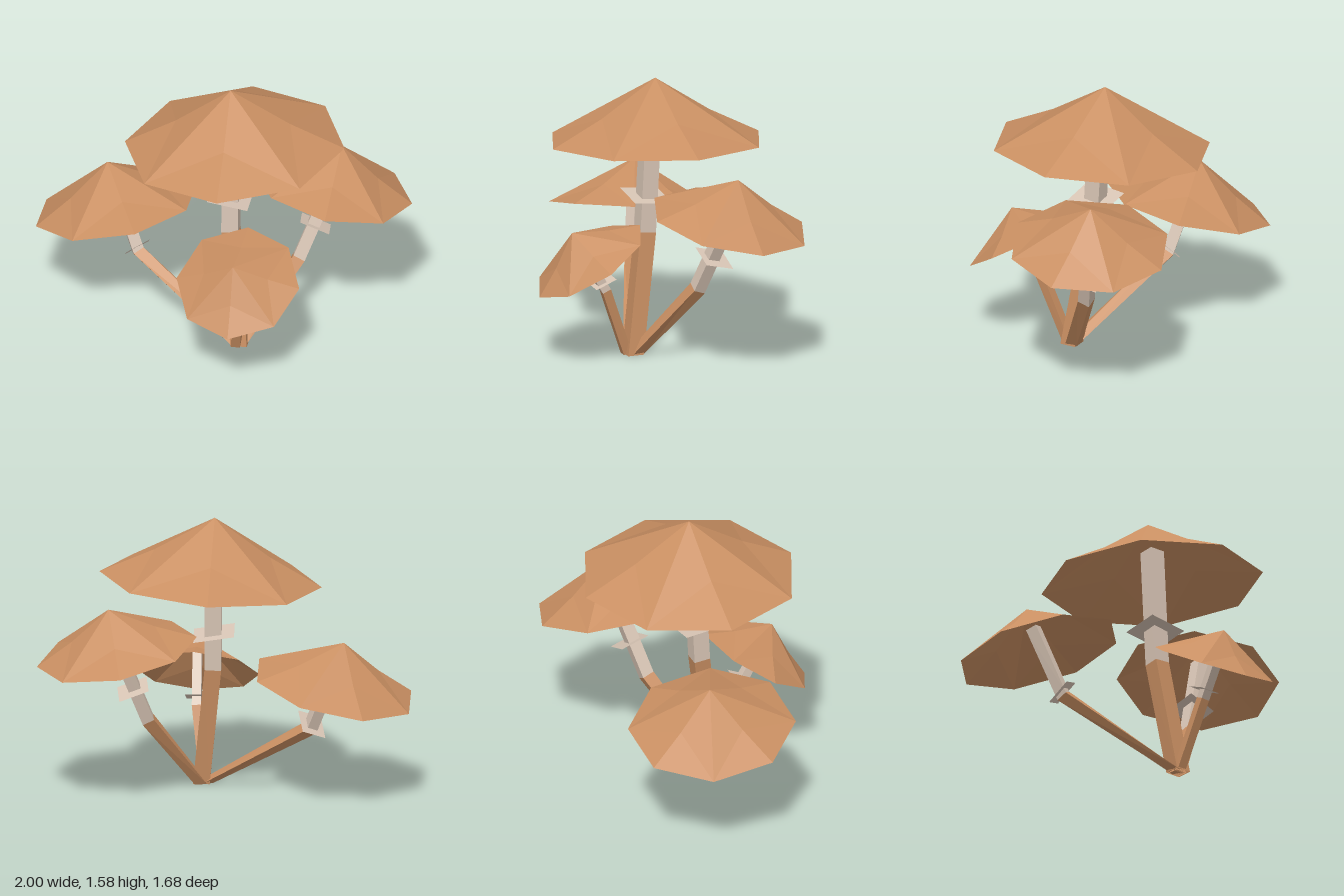
import * as THREE from 'three';

const V = (a) => new THREE.Vector3(...a);
const UP = new THREE.Vector3(0, 1, 0);

const makeMaterial = (name, color) => {
  const m = new THREE.MeshStandardMaterial({ color, flatShading: true, side: THREE.DoubleSide });
  m.name = name;
  return m;
};

// Flat-shaded mesh from a list of triangles (three points each)
function facetMesh(name, points, material) {
  const g = new THREE.BufferGeometry().setFromPoints(points);
  g.computeVertexNormals();
  const mesh = new THREE.Mesh(g, material);
  mesh.name = name;
  return mesh;
}

// Point at an angle, radius and height in the local frame of a centre and axis
function framePoint(center, axis, deg, r, h = 0) {
  const a = THREE.MathUtils.degToRad(deg);
  const q = new THREE.Quaternion().setFromUnitVectors(UP, axis.clone().normalize());
  return new THREE.Vector3(r * Math.cos(a), h, r * Math.sin(a)).applyQuaternion(q).add(center);
}

// Cap: four-sided cone whose sides are each divided into three kite facets
function buildCap({ center, normal, radius, height, turn }, material) {
  const c = V(center), n = V(normal), tris = [];
  const p = (deg, r, h) => framePoint(c, n, turn + deg, r * radius, h * height);
  const apex = p(0, 0, 1);
  for (let i = 0; i < 4; i++) {
    const a = i * 90, b = a + 90, m = a + 45;
    const rimA = p(a, 1, 0), rimB = p(b, 1, 0), rimM = p(m, 1, 0);
    const midA = p(a, 0.5, 0.5), midB = p(b, 0.5, 0.5), face = p(m, 0.52, 0.42);
    tris.push(apex, face, midA, apex, midB, face);
    tris.push(midA, face, rimA, face, rimM, rimA);
    tris.push(face, midB, rimB, face, rimB, rimM);
  }
  return facetMesh('cap', tris, material);
}

// Square tube between two cross-sections
function buildTube(name, from, to, material) {
  const tris = [];
  for (let i = 0; i < 4; i++) {
    const [a, b, c, d] = [from[i], from[(i + 1) % 4], to[(i + 1) % 4], to[i]];
    tris.push(a, d, c, a, c, b);
  }
  return facetMesh(name, tris, material);
}

function buildMushroom(spec, brown, beige) {
  const g = new THREE.Group();
  g.name = spec.name;
  const { turn } = spec.cap;
  const square = (center, axis, r) => [0, 90, 180, 270].map((d) => framePoint(center, axis, turn + d, r));
  const [base, joint, top] = spec.path.map(V);
  const low = joint.clone().sub(base).normalize(), high = top.clone().sub(joint).normalize();

  // Stem bends where the brown foot meets the pale upper part
  const s0 = square(base, UP, spec.stem);
  const s1 = square(joint, low.clone().add(high), spec.stem);
  const s2 = square(top, high, spec.stem);
  g.add(buildTube('lowerStem', s0, s1, brown), buildTube('upperStem', s1, s2, beige));
  g.add(facetMesh('stemTop', [s2[0], s2[2], s2[1], s2[0], s2[3], s2[2]], beige));

  // Thin square collar around the stem
  const k = square(V(spec.ring.at), V(spec.ring.normal), spec.ring.r);
  g.add(facetMesh('collar', [k[0], k[2], k[1], k[0], k[3], k[2]], beige));
  g.add(buildCap(spec.cap, brown));
  return g;
}

const MUSHROOMS = [
  {
    name: 'tallMushroom', stem: 0.067,
    path: [[-0.03, 0, 0.27], [-0.04, 0.69, 0.147], [-0.025, 1.4, 0.11]],
    ring: { at: [-0.04, 0.895, 0.135], normal: [0.19, 1, -0.03], r: 0.165 },
    cap: { center: [0, 1.22, 0.1], normal: [-0.05, 1, -0.05], radius: 0.63, height: 0.36, turn: -16 },
  },
  {
    name: 'leftLeaningMushroom', stem: 0.05,
    path: [[-0.02, 0, 0.26], [0.36, 0.43, 0.175], [0.62, 0.98, 0.14]],
    ring: { at: [0.465, 0.62, 0.155], normal: [0.48, 1, -0.08], r: 0.125 },
    cap: { center: [0.57, 0.85, 0.15], normal: [0.227, 1, -0.03], radius: 0.46, height: 0.26, turn: -19 },
  },
  {
    name: 'rearMushroom', stem: 0.047,
    path: [[-0.05, 0, 0.26], [-0.45, 0.385, -0.26], [-0.545, 0.79, -0.405]],
    ring: { at: [-0.455, 0.405, -0.265], normal: [-0.4, 1, -0.9], r: 0.11 },
    cap: { center: [-0.54, 0.64, -0.375], normal: [-0.124, 1, -0.229], radius: 0.475, height: 0.27, turn: 51 },
  },
  {
    name: 'frontMushroom', stem: 0.037,
    path: [[-0.06, 0, 0.29], [-0.09, 0.4, 0.445], [-0.17, 0.68, 0.59]],
    ring: { at: [-0.1, 0.45, 0.457], normal: [-0.2, 1, 0.38], r: 0.092 },
    cap: { center: [-0.135, 0.58, 0.53], normal: [-0.35, 1, 0.49], radius: 0.355, height: 0.203, turn: -13.5 },
  },
];

export function createModel() {
  const model = new THREE.Group();
  model.name = 'mushroomCluster';
  const brown = makeMaterial('capBrown', 0xc98f62);
  const beige = makeMaterial('stemBeige', 0xd8c5b5);
  for (const spec of MUSHROOMS) model.add(buildMushroom(spec, brown, beige));
  return model;
}
